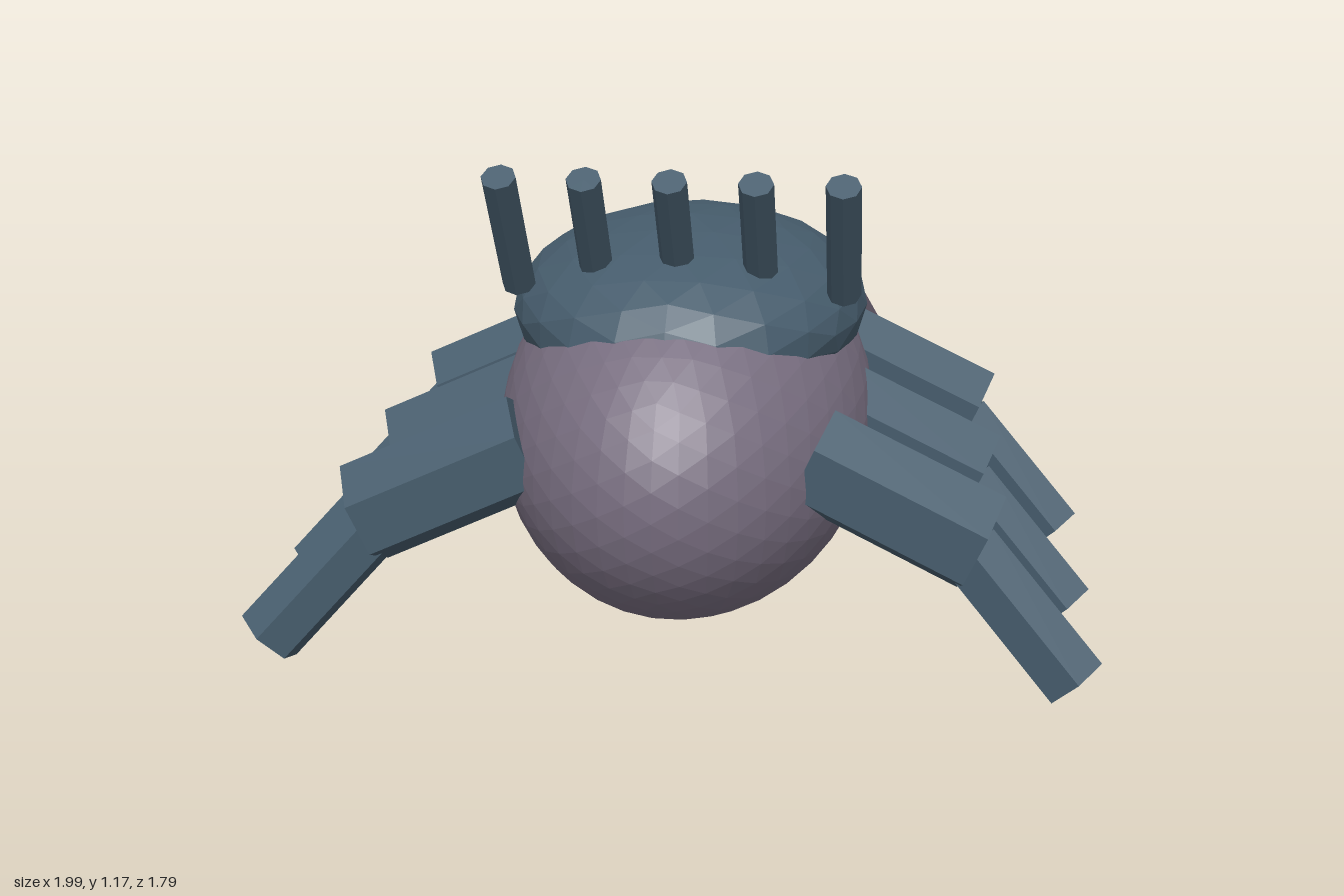
import * as THREE from 'three';

const paint = (name, color) => {
  const m = new THREE.MeshStandardMaterial({ color, flatShading: true });
  m.name = name;
  return m;
};

export function createModel() {
  const hide = paint('mauve grey', 0x776d7f);
  const armour = paint('slate blue', 0x465c6c);
  const glow = paint('teal', 0x4cb8a8);

  const model = new THREE.Group();
  model.name = 'beetle';

  // Faceted ellipsoid
  function blob(name, mat, detail, pos, radii) {
    const mesh = new THREE.Mesh(new THREE.IcosahedronGeometry(1, detail), mat);
    mesh.name = name;
    mesh.position.set(...pos);
    mesh.scale.set(...radii);
    model.add(mesh);
    return mesh;
  }

  // Prism between two points, with one corner edge turned upward
  function bar(name, mat, a, b, radius, sides, parent = model) {
    const from = new THREE.Vector3(...a);
    const to = new THREE.Vector3(...b);
    const axis = to.clone().sub(from);
    const mesh = new THREE.Mesh(new THREE.CylinderGeometry(radius, radius, axis.length(), sides), mat);
    axis.normalize();
    const up = new THREE.Vector3(0, 1, 0).addScaledVector(axis, -axis.y).normalize();
    const side = new THREE.Vector3().crossVectors(axis, up);
    mesh.quaternion.setFromRotationMatrix(new THREE.Matrix4().makeBasis(side, axis, up));
    mesh.position.copy(from).add(to).multiplyScalar(0.5);
    mesh.name = name;
    parent.add(mesh);
  }

  // Body, back shell and head
  blob('body', hide, 7, [0, 0.465, 0.195], [0.46, 0.46, 0.7]);
  blob('shell', armour, 3, [0, 0.76, 0.17], [0.435, 0.215, 0.505]);
  blob('head', hide, 3, [0, 0.48, -0.445], [0.325, 0.255, 0.26]);

  for (const s of [-1, 1]) {
    blob('eye', glow, 1, [s * 0.235, 0.615, -0.565], [0.037, 0.034, 0.036]);

    // Three two-part legs on each side
    for (const z of [-0.26, 0.2, 0.58]) {
      const leg = new THREE.Group();
      leg.name = s > 0 ? 'leftLeg' : 'rightLeg';
      bar('upperLeg', armour, [s * 0.33, 0.515, z], [s * 0.72, 0.345, z + 0.055], 0.128, 6, leg);
      bar('lowerLeg', armour, [s * 0.69, 0.33, z + 0.055], [s * 0.94, 0.058, z + 0.15], 0.083, 6, leg);
      model.add(leg);
    }
  }

  // Row of spikes leaning over the rear of the shell
  for (let i = -2; i <= 2; i++) {
    bar('spike', armour, [i * 0.193, 0.847, 0.385], [i * 0.193, 1.147, 0.566], 0.04, 8);
  }

  // Jointed feelers: x at root, joint and tip
  const feelers = [[0, 0, 0], [0.15, 0.22, 0.255], [0.3, 0.37, 0.44], [0.37, 0.425, 0.515]];
  for (const [root, joint, tip] of feelers) {
    for (const s of root ? [-1, 1] : [1]) {
      const feeler = new THREE.Group();
      feeler.name = 'feeler';
      bar('feelerUpper', hide, [s * root, 0.645, -0.29], [s * joint, 0.425, -0.65], 0.042, 6, feeler);
      bar('feelerLower', hide, [s * joint, 0.425, -0.64], [s * tip, 0.17, -0.875], 0.032, 8, feeler);
      model.add(feeler);
    }
  }

  return model;
}
